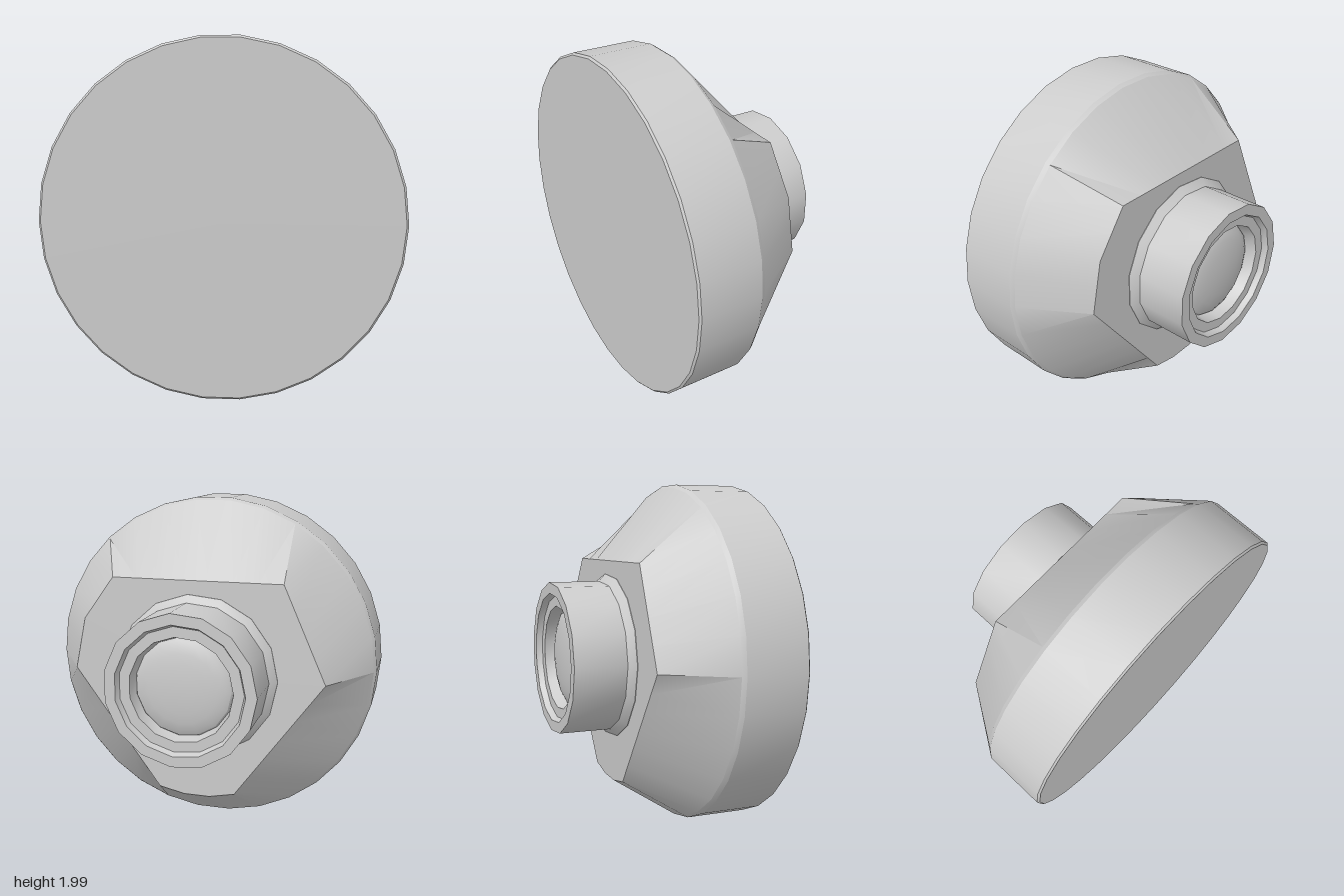
import * as THREE from 'three';
import { toCreasedNormals } from 'three/addons/utils/BufferGeometryUtils.js';

const CENTER_Y = 0.995;
const CREASE = 0.5;
const material = new THREE.MeshStandardMaterial({ color: 0xcccccc, side: THREE.DoubleSide });

function part(name, geometry) {
  const mesh = new THREE.Mesh(toCreasedNormals(geometry, CREASE), material);
  mesh.name = name;
  return mesh;
}

// Revolves [radius, z] points, listed from front to back, around the z axis
function turned(name, profile, sides, start) {
  const points = profile.map(([r, z]) => new THREE.Vector2(r, -z));
  const geometry = new THREE.LatheGeometry(points, sides, start);
  geometry.rotateX(-Math.PI / 2);
  return part(name, geometry);
}

// Point on a circle around the main axis
function polar(r, degrees, z) {
  const a = THREE.MathUtils.degToRad(degrees);
  return new THREE.Vector3(r * Math.cos(a), r * Math.sin(a), z);
}

// Tapered housing: a round rim ruled onto a back plate cut by long chords
function housingGeometry() {
  const corners = [0, 24, 48, 132, 180, 252, 264, 276, 288, 360];
  const frontZ = 0.155, backZ = -0.205, step = 12;
  const center = new THREE.Vector3(0, 0, backZ);
  const triangles = [];
  for (let k = 0; k < corners.length - 1; k++) {
    const [from, to] = [corners[k], corners[k + 1]];
    const p = polar(0.75, from, backZ), q = polar(0.75, to, backZ);
    const inner = (deg) => p.clone().lerp(q, (deg - from) / (to - from));
    for (let deg = from; deg < to; deg += step) {
      const a = polar(0.985, deg, frontZ), b = polar(0.985, deg + step, frontZ);
      const c = inner(deg + step), d = inner(deg);
      triangles.push(a, d, c, a, c, b);
    }
    triangles.push(center, q, p);
  }
  return new THREE.BufferGeometry().setFromPoints(triangles);
}

export function createModel() {
  const group = new THREE.Group();
  const body = new THREE.Group();
  body.name = 'body';
  body.position.y = CENTER_Y;
  group.add(body);

  // Front disc with fine bevels on both edges
  body.add(turned('frontDisc', [
    [0, 0.55], [0.988, 0.55], [1, 0.54], [1, 0.178], [0.985, 0.155],
  ], 30, Math.PI / 2));

  body.add(part('taperedHousing', housingGeometry()));

  // Neck: flared collar, tube, stepped rim and recessed seat
  body.add(turned('neck', [
    [0.48, -0.2], [0.48, -0.208], [0.438, -0.247], [0.438, -0.55],
    [0.375, -0.55], [0.36, -0.515], [0.3, -0.515], [0.285, -0.44],
  ], 15, -Math.PI / 2));

  // Domed button inside the neck
  const dome = [];
  for (let i = 0; i <= 6; i++) {
    const t = (i / 6) * Math.PI / 2;
    dome.push([0.285 * Math.cos(t), -0.44 - 0.06 * Math.sin(t)]);
  }
  dome[6][0] = 0;
  body.add(turned('dome', dome, 15, -Math.PI / 2));

  return group;
}
